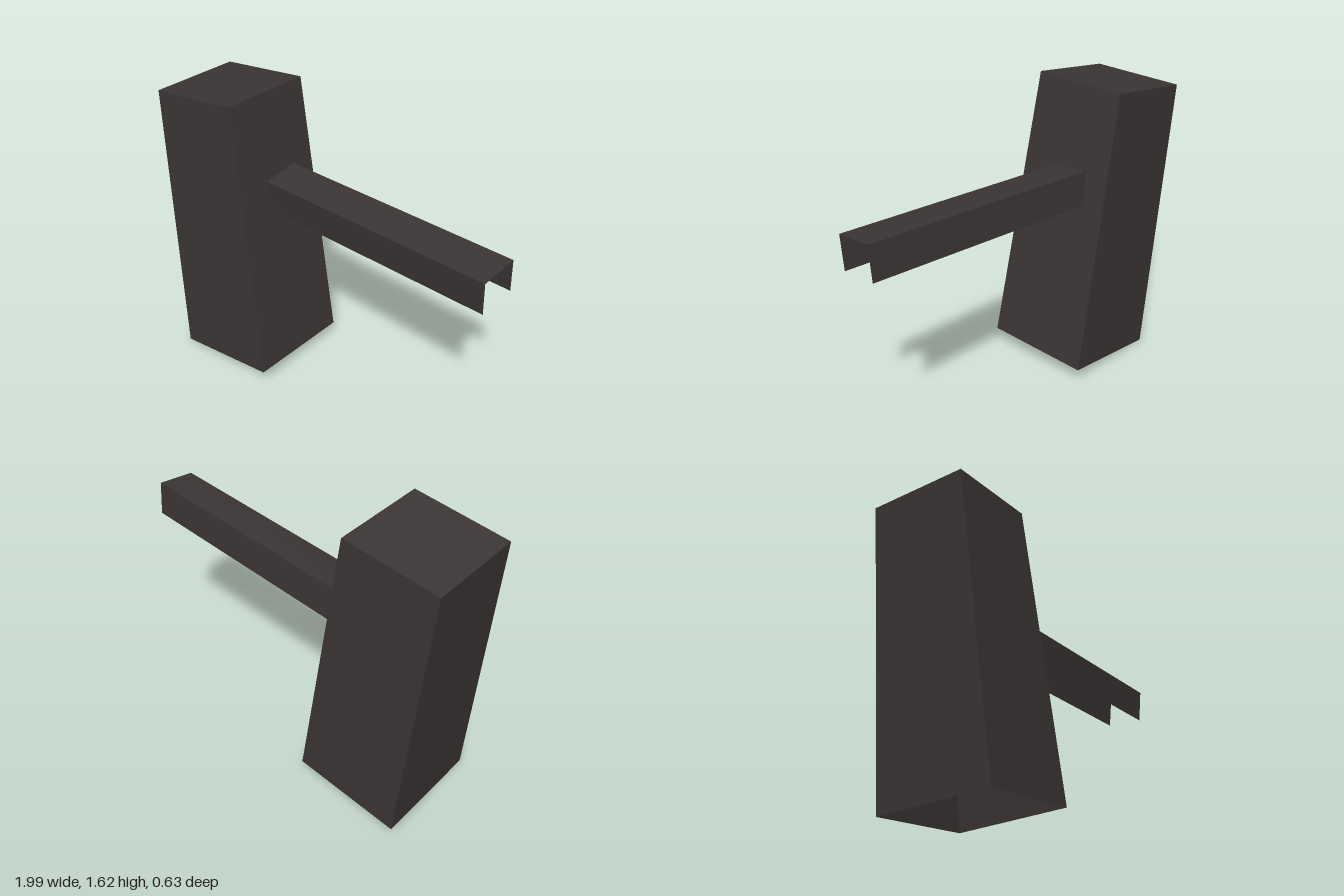
import * as THREE from 'three';

const charcoal = new THREE.MeshStandardMaterial({ color: 0x3c3535, side: THREE.DoubleSide });
charcoal.name = 'charcoal';

// Flat-sided sheet mesh from four-cornered faces
function facesMesh(name, quads) {
  const points = quads.flatMap(([a, b, c, d]) => [a, b, c, a, c, d]).flat();
  const geometry = new THREE.BufferGeometry();
  geometry.setAttribute('position', new THREE.Float32BufferAttribute(points, 3));
  geometry.computeVertexNormals();
  const mesh = new THREE.Mesh(geometry, charcoal);
  mesh.name = name;
  return mesh;
}

// Faces joining two matching cross-sections
function loft(a, b, closed) {
  const quads = [];
  const count = closed ? a.length : a.length - 1;
  for (let i = 0; i < count; i++) {
    const j = (i + 1) % a.length;
    quads.push([a[i], a[j], b[j], b[i]]);
  }
  return quads;
}

export function createModel() {
  const group = new THREE.Group();
  group.name = 'leaningBlockWithArm';

  // Leaning tapered block: capped on top, open underneath
  const base = [[-0.825, 0.025, 0.315], [-0.225, 0.105, 0.298], [-0.238, 0.083, -0.312], [-0.838, 0.003, -0.295]];
  const top = [[-0.985, 1.56, 0.217], [-0.468, 1.627, 0.202], [-0.478, 1.608, -0.318], [-0.998, 1.543, -0.303]];
  group.add(facesMesh('taperedBlock', [...loft(base, top, true), top]));

  // Channel-shaped arm: top and two sides, open below and at the ends
  const outer = [[0.98, 1.033, 0.07], [0.982, 1.215, 0.085], [0.99, 1.235, -0.125], [0.988, 1.052, -0.14]];
  const inner = [[-0.37, 0.98, 0.02], [-0.4, 1.16, 0.035], [-0.408, 1.18, -0.175], [-0.378, 0.998, -0.19]];
  group.add(facesMesh('channelArm', loft(outer, inner, false)));

  return group;
}
